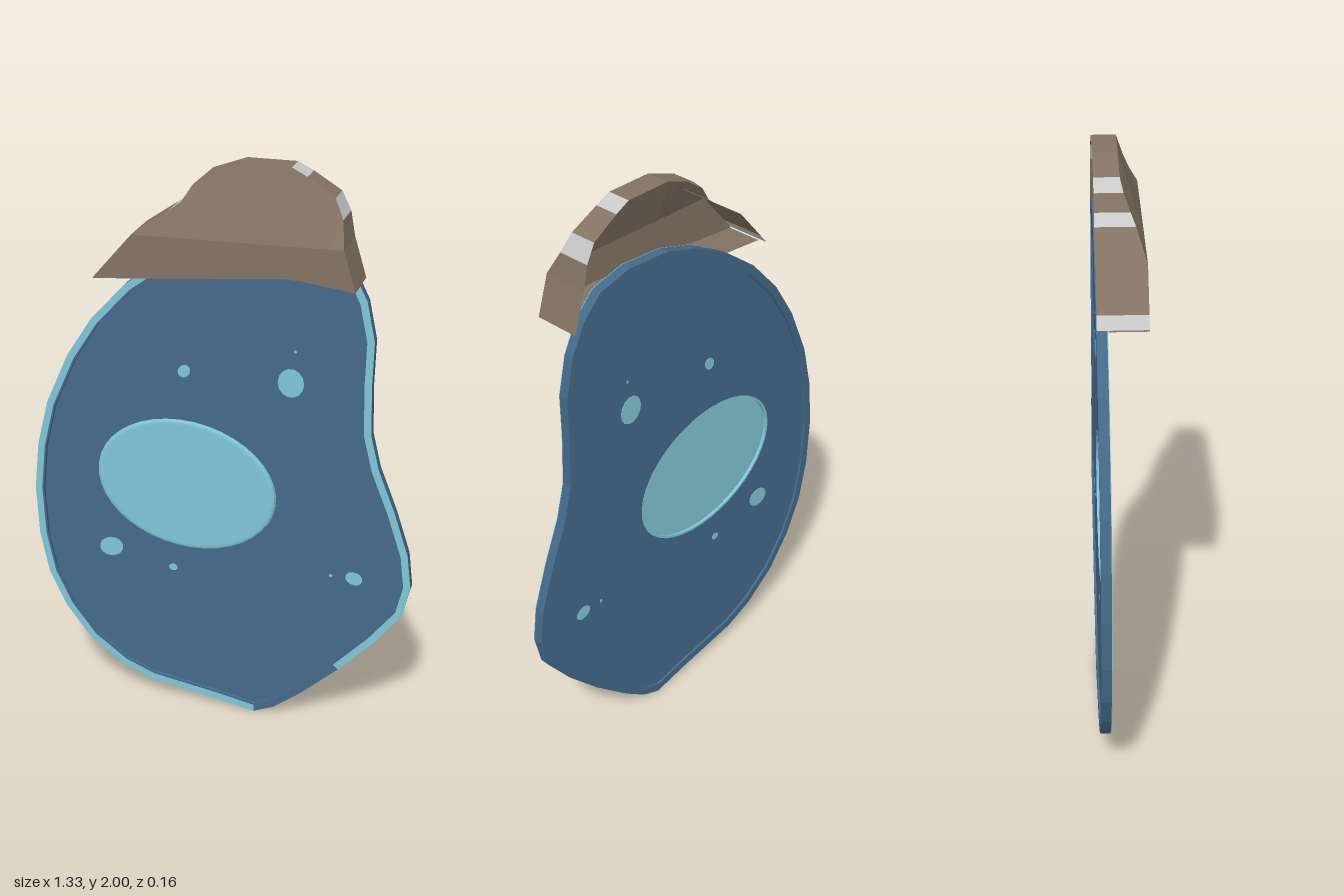
import * as THREE from 'three';

const mat = (name, color, side = THREE.FrontSide) => {
  const m = new THREE.MeshStandardMaterial({ color, side });
  m.name = name;
  return m;
};

// Outline of the cell body, counter-clockwise from the bottom tip
const OUTLINE = [
  [0.13, 0], [0.2, 0.03], [0.29, 0.1], [0.43, 0.23], [0.55, 0.36], [0.64, 0.48], [0.665, 0.59],
  [0.65, 0.71], [0.6, 0.86], [0.54, 1.01], [0.51, 1.13], [0.505, 1.3], [0.508, 1.45], [0.48, 1.58],
  [0.43, 1.68], [0.36, 1.75], [0.24, 1.78], [0.08, 1.77], [-0.05, 1.73], [-0.2, 1.65], [-0.32, 1.56],
  [-0.44, 1.43], [-0.53, 1.29], [-0.61, 1.11], [-0.65, 0.95], [-0.668, 0.78], [-0.66, 0.6],
  [-0.63, 0.45], [-0.57, 0.32], [-0.48, 0.2], [-0.36, 0.11], [-0.25, 0.065], [0, 0.025],
].map(([x, y]) => new THREE.Vector2(x, y));

// Shrink a closed outline along its corner normals
const inset = (pts, d) => pts.map((p, i) => {
  const a = pts[(i + pts.length - 1) % pts.length], b = pts[(i + 1) % pts.length];
  const t = b.clone().sub(a).normalize();
  return new THREE.Vector2(p.x - t.y * d, p.y + t.x * d);
});

const ellipse = (x, y, rx, ry, rot = 0, n = 40) =>
  new THREE.EllipseCurve(x, y, rx, ry, 0, Math.PI * 2, false, rot).getPoints(n).slice(0, -1);

// Slab between two z values, with optional hole
function slab(name, pts, hole, z0, z1, material) {
  const shape = new THREE.Shape(pts);
  if (hole) shape.holes.push(new THREE.Path(hole));
  const geo = new THREE.ExtrudeGeometry(shape, { depth: z1 - z0, bevelEnabled: false });
  geo.translate(0, 0, z0);
  const mesh = new THREE.Mesh(geo, material);
  mesh.name = name;
  return mesh;
}

function quadMesh(name, quads, material) {
  const pos = [];
  for (const [a, b, c, d] of quads) pos.push(...a, ...b, ...c, ...a, ...c, ...d);
  const geo = new THREE.BufferGeometry();
  geo.setAttribute('position', new THREE.Float32BufferAttribute(pos, 3));
  geo.computeVertexNormals();
  const mesh = new THREE.Mesh(geo, material);
  mesh.name = name;
  return mesh;
}

function buildCap(brown, grey) {
  const cap = new THREE.Group();
  cap.name = 'cap';
  // Upper edge of the front, left to right
  const top = [
    [-0.38, 1.62, 0.075], [-0.35, 1.655, 0.075], [-0.25, 1.77, 0.075], [-0.14, 1.845, 0.045],
    [-0.1, 1.875, 0.03], [-0.07, 1.925, 0.01], [-0.03, 1.96, 0], [0.08, 2, -0.002], [0.24, 2, -0.002],
    [0.29, 1.975, 0], [0.38, 1.92, 0.01], [0.41, 1.86, 0.03], [0.425, 1.78, 0.075], [0.465, 1.65, 0.075],
  ];
  const greyFaces = [0, 3, 5, 8, 10];
  const fold = top.map((p, i) => (i < 2 || i > 12 ? p : [p[0], 1.77 + (p[0] + 0.25) * 0.015, 0.075]));
  const bottom = top.map(([x]) =>
    [x, x < 0.26 ? 1.615 + (x + 0.38) * 0.094 : 1.675 - (x - 0.26) * 0.122, 0.075]);
  const atZ = (p, z) => [p[0], p[1], z];
  const front = [], wall = [], chips = [], floor = [];
  for (let i = 0; i < top.length - 1; i++) {
    const j = i + 1;
    front.push([bottom[i], bottom[j], fold[j], fold[i]]);
    if (i >= 2 && i < 12) front.push([fold[i], fold[j], top[j], top[i]]);
    (greyFaces.includes(i) ? chips : wall).push(
      [top[i], top[j], atZ(top[j], -0.08), atZ(top[i], -0.08)]);
    floor.push([atZ(bottom[i], -0.046), atZ(bottom[j], -0.046), bottom[j], bottom[i]]);
  }
  cap.add(quadMesh('capFront', front, brown), quadMesh('capWall', wall, brown),
    quadMesh('capLightFaces', chips, grey), quadMesh('capUnderside', floor, brown));
  return cap;
}

export function createModel() {
  const blue = mat('deep blue', 0x456a8a);
  const aqua = mat('pale aqua', 0x80c6d5);
  const brown = mat('taupe brown', 0x837364, THREE.DoubleSide);
  const grey = mat('light grey', 0xc8c8c8, THREE.DoubleSide);
  const model = new THREE.Group();
  model.name = 'cell';

  // Raised rim, with a pale strip on most of its front
  const inner = inset(OUTLINE, 0.03), stripInner = inset(OUTLINE, 0.024);
  model.add(slab('rim', OUTLINE, inner, -0.08, -0.047, blue));
  const from = 3;
  const strip = [...OUTLINE.slice(from), OUTLINE[0], stripInner[0], ...stripInner.slice(from).reverse()];
  model.add(slab('rimStrip', strip, null, -0.047, -0.045, aqua));

  // Thin membrane with the nucleus set forward in an oval opening
  model.add(slab('membrane', inner, ellipse(-0.12, 0.863, 0.312, 0.23, -0.12), -0.072, -0.06, blue));
  const oval = new THREE.Shape(ellipse(-0.12, 0.863, 0.3, 0.222, -0.12));
  const nucleusGeo = new THREE.ExtrudeGeometry(oval,
    { depth: 0.006, bevelThickness: 0.006, bevelSize: 0.014, bevelSegments: 3 });
  nucleusGeo.translate(0, 0, -0.057);
  const nucleus = new THREE.Mesh(nucleusGeo, aqua);
  nucleus.name = 'nucleus';
  model.add(nucleus);
  model.add(slab('nucleusSeat', ellipse(-0.12, 0.863, 0.316, 0.234, -0.12),
    ellipse(-0.12, 0.863, 0.308, 0.226, -0.12), -0.0725, -0.0575, aqua));

  // Small spots showing on both faces
  const spots = [
    [-0.125, 1.275, 0.024, 0.02, 0.9], [0.237, 1.275, 0.044, 0.05, 0], [-0.397, 0.58, 0.044, 0.036, 0.3],
    [-0.17, 0.533, 0.016, 0.013, 0], [0.47, 0.59, 0.03, 0.024, -0.2], [0.39, 0.59, 0.006, 0.006, 0],
    [0.25, 1.385, 0.005, 0.005, 0],
  ];
  for (const [x, y, rx, ry, rot] of spots)
    model.add(slab('spot', ellipse(x, y, rx, ry, rot, 14), null, -0.073, -0.059, aqua));

  model.add(buildCap(brown, grey));
  return model;
}
